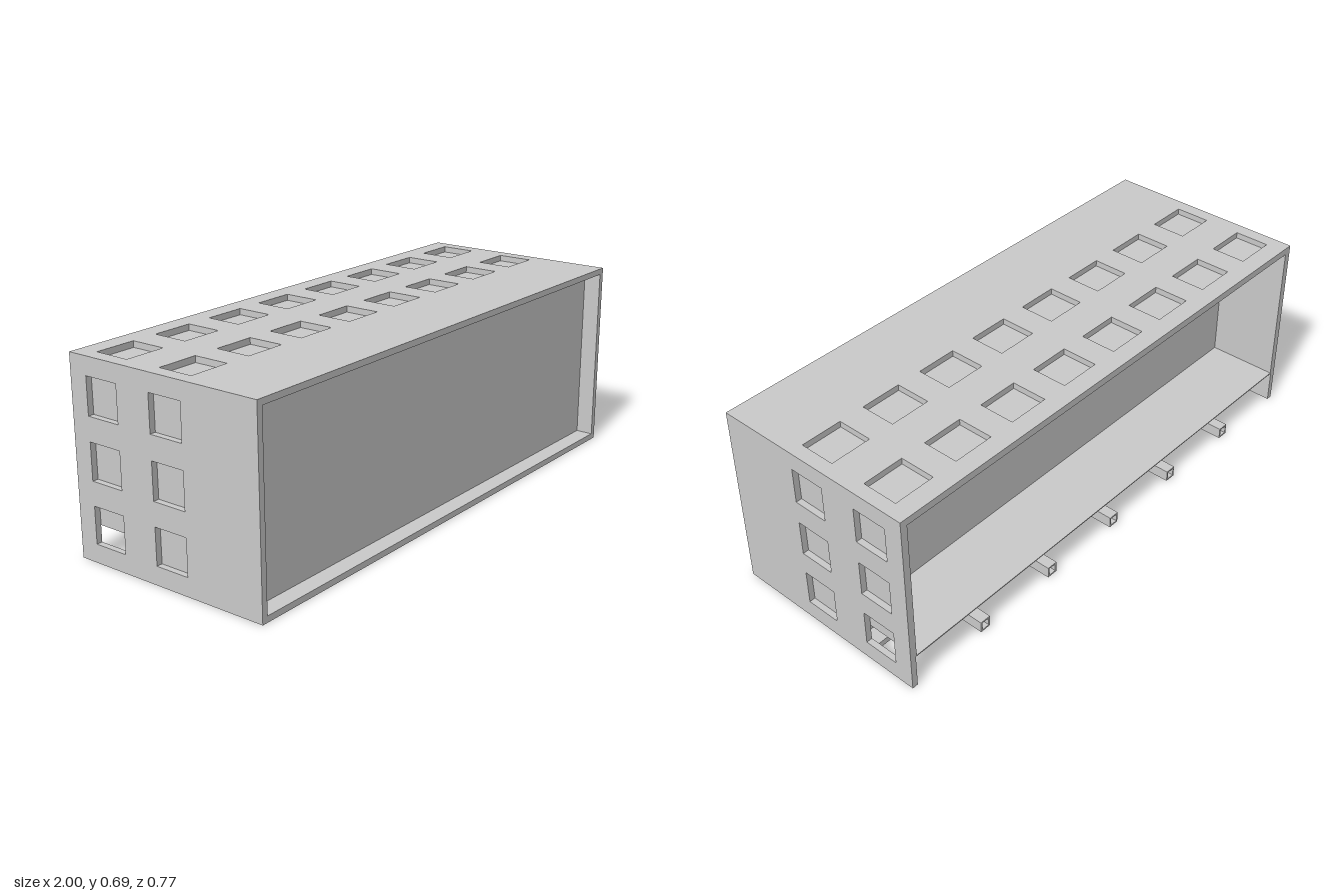
import * as THREE from 'three';

const material = new THREE.MeshStandardMaterial({ color: 0xcccccc, side: THREE.DoubleSide });

const W = 1, H = 0.693, D = 0.384;   // half width, height, half depth
const T = 0.022;                     // plate thickness
const LINER = 0.004;                 // thin inner sheets
const WALL_Z = -0.12;                // rear face of the inner core
const FRONT_Z = 0.32;                // recessed front panel
const FLOOR_Y = 0.125;               // raised rear floor
const WIN = 0.131;                   // window size along z and y
const ROWS_Z = [0.02, -0.249];
const ROWS_Y = [0.1315, 0.347, 0.563];
const COLS_X = Array.from({ length: 8 }, (_, i) => -0.873 + i * 0.2494);

function rectPath(path, x0, y0, x1, y1) {
  path.moveTo(x0, y0);
  path.lineTo(x1, y0);
  path.lineTo(x1, y1);
  path.lineTo(x0, y1);
  path.closePath();
  return path;
}

// Flat plate with rectangular holes given as [cx, cy, w, h]
function plate(x0, y0, x1, y1, holes, depth = T) {
  const shape = rectPath(new THREE.Shape(), x0, y0, x1, y1);
  for (const [cx, cy, w, h] of holes) {
    shape.holes.push(rectPath(new THREE.Path(), cx - w / 2, cy - h / 2, cx + w / 2, cy + h / 2));
  }
  return new THREE.ExtrudeGeometry(shape, { depth, bevelEnabled: false });
}

export function createModel() {
  const group = new THREE.Group();

  const add = (name, geometry, x = 0, y = 0, z = 0) => {
    const mesh = new THREE.Mesh(geometry, material);
    mesh.name = name;
    mesh.position.set(x, y, z);
    group.add(mesh);
    return mesh;
  };
  const box = (name, x0, x1, y0, y1, z0, z1) =>
    add(name, new THREE.BoxGeometry(x1 - x0, y1 - y0, z1 - z0),
      (x0 + x1) / 2, (y0 + y1) / 2, (z0 + z1) / 2);

  // Side walls with two columns of three windows
  const sideHoles = ROWS_Z.flatMap(z => ROWS_Y.map(y => [-z, y, WIN, WIN]));
  const side = plate(-D, 0, D, H, sideHoles).rotateY(Math.PI / 2);
  add('leftWall', side, W - T);
  add('rightWall', side, -W);

  // Roof with two rows of windows
  const roofHoles = ROWS_Z.flatMap(z => COLS_X.map(x => [x, z, 0.153, WIN]));
  add('roof', plate(-W + T, -D, W - T, D, roofHoles).rotateX(Math.PI / 2), 0, H);

  // Base with one row of windows, cut short at the rear
  const baseHoles = COLS_X.map(x => [x, ROWS_Z[0], 0.153, WIN]);
  add('base', plate(-W + T, -0.185, W - T, D, baseHoles).rotateX(Math.PI / 2), 0, T);

  // Closed core: recessed front panel and rear inner wall
  box('core', -W + T, W - T, T, H - T, WALL_Z, FRONT_Z);

  // Rear compartment floor, ceiling and wall linings
  box('rearFloor', -W + T, W - T, FLOOR_Y, FLOOR_Y + LINER, -D, WALL_Z);
  box('ceilingLining', -W + T, W - T, H - T - LINER, H - T, -D, WALL_Z);
  for (const s of [-1, 1]) {
    const a = s * (W - T), b = s * (W - T - LINER);
    box(s > 0 ? 'leftLining' : 'rightLining',
      Math.min(a, b), Math.max(a, b), FLOOR_Y, H - T, -D, WALL_Z);
  }

  // Hollow joists under the rear floor
  const joist = plate(-0.021, 0.002, 0.021, 0.044, [[0, 0.023, 0.03, 0.03]], D + WALL_Z);
  for (let i = -2; i <= 2; i++) add('joist', joist, i / 3, 0, -D);

  return group;
}
